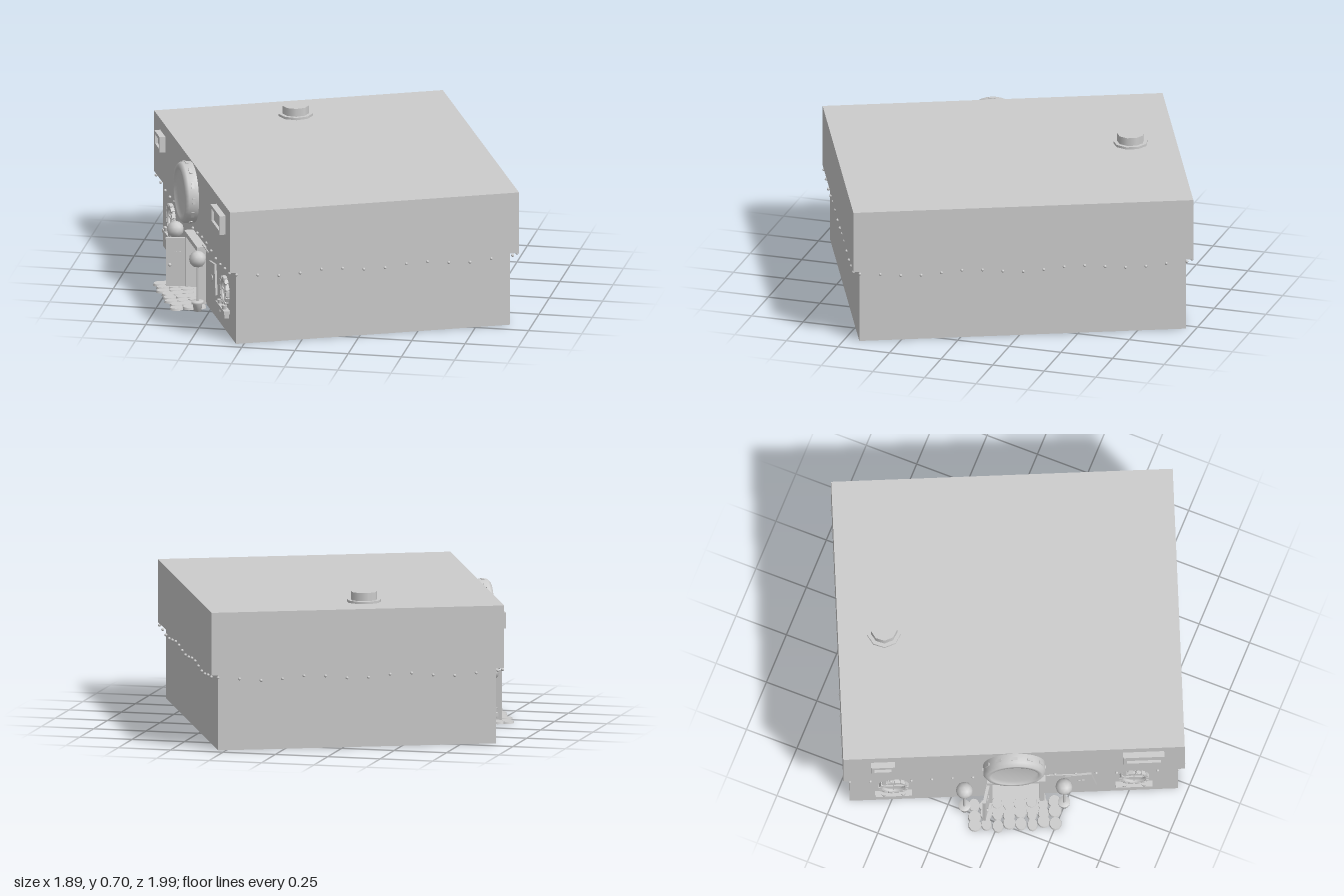
import * as THREE from 'three';

export function createModel() {
  const plaster = new THREE.MeshStandardMaterial({ color: 0xcccccc, side: THREE.DoubleSide });
  plaster.name = 'paleGrey';
  const model = new THREE.Group();
  model.name = 'cottage';

  // The whole house is turned so its door side faces the front right corner.
  const house = new THREE.Group();
  house.name = 'house';
  house.rotation.y = -1.153;
  model.add(house);

  const add = (name, geo, x = 0, y = 0, z = 0, parent = house) => {
    const m = new THREE.Mesh(geo, plaster);
    m.name = name;
    m.position.set(x, y, z);
    parent.add(m);
    return m;
  };
  const box = (name, w, h, d, x, y, z, parent) => add(name, new THREE.BoxGeometry(w, h, d), x, y, z, parent);
  const group = (name, x, y, z) => {
    const g = new THREE.Group();
    g.name = name;
    g.position.set(x, y, z);
    house.add(g);
    return g;
  };
  const rect = (T, x0, y0, x1, y1) => {
    const s = new T();
    s.moveTo(x0, y0);
    s.lineTo(x1, y0);
    s.lineTo(x1, y1);
    s.lineTo(x0, y1);
    s.closePath();
    return s;
  };

  const A = 0.757, B = 0.6485, H = 0.355;      // lower walls
  const RA = 0.788, RB = 0.683, TOP = 0.648;   // overhanging upper block

  // Open-bottomed lower walls, with a doorway in the front one
  const frontShape = rect(THREE.Shape, -A, 0, A, H);
  frontShape.holes.push(rect(THREE.Path, -0.1, 0.004, 0.12, 0.25));
  add('frontWall', new THREE.ShapeGeometry(frontShape), 0, 0, B);
  add('backWall', new THREE.PlaneGeometry(2 * A, H), 0, H / 2, -B).rotation.y = Math.PI;
  for (const s of [-1, 1]) {
    add('sideWall', new THREE.PlaneGeometry(2 * B, H), s * A, H / 2, 0).rotation.y = s * Math.PI / 2;
  }

  // Upper block: four sides, flat top and the eave ring beneath
  const rh = TOP - H, ry = (TOP + H) / 2;
  for (const s of [-1, 1]) {
    add('upperWall', new THREE.PlaneGeometry(2 * RA, rh), 0, ry, s * RB).rotation.y = s > 0 ? 0 : Math.PI;
    add('upperSide', new THREE.PlaneGeometry(2 * RB, rh), s * RA, ry, 0).rotation.y = s * Math.PI / 2;
  }
  add('roofTop', new THREE.PlaneGeometry(2 * RA, 2 * RB), 0, TOP, 0).rotation.x = -Math.PI / 2;
  const ring = rect(THREE.Shape, -RA, -RB, RA, RB);
  ring.holes.push(rect(THREE.Path, -A, -B, A, B));
  add('eave', new THREE.ShapeGeometry(ring), 0, H, 0).rotation.x = Math.PI / 2;

  // String of small bulbs hanging under the eave
  const bulb = new THREE.SphereGeometry(0.007, 8, 6);
  const bulbs = (n, half, place) => {
    for (let i = 0; i < n; i++) {
      const t = i / (n - 1);
      const y = 0.335 + 0.009 * Math.cos(t * Math.PI * 6);
      const [x, z] = place((2 * t - 1) * (half - 0.03));
      add('bulb', bulb, x, y, z);
    }
  };
  for (const s of [-1, 1]) {
    bulbs(17, RA, (u) => [u, s * (RB - 0.003)]);
    bulbs(14, RB, (u) => [s * (RA - 0.003), u]);
  }

  // Chimney
  add('chimneyBase', new THREE.CylinderGeometry(0.08, 0.08, 0.012, 9).toNonIndexed(), -0.575, TOP + 0.005, 0.062);
  add('chimneyPot', new THREE.CylinderGeometry(0.062, 0.062, 0.04, 9).toNonIndexed(), -0.575, TOP + 0.029, 0.062);

  // Big round upper window with studs around its rim
  const round = group('roundWindow', 0, 0.502, RB);
  const rim = [[0.143, 0], [0.143, 0.045], [0.13, 0.06], [0.112, 0.06], [0.105, 0.045], [0, 0.045]];
  add('rim', new THREE.LatheGeometry(rim.map((p) => new THREE.Vector2(...p)), 36), 0, 0, 0, round).rotation.x = Math.PI / 2;
  for (let i = 0; i < 12; i++) {
    const a = (i / 12) * Math.PI * 2;
    const stud = box('rimStud', 0.006, 0.03, 0.014, Math.cos(a) * 0.143, Math.sin(a) * 0.143, 0.025, round);
    stud.rotation.z = a;
  }

  // Square upper windows: four frame bars and a recessed pane
  const squareWindow = (x, w, h) => {
    const g = group('squareWindow', x, 0.557, RB + 0.014);
    const b = 0.016;
    for (const s of [-1, 1]) {
      box('frameBar', w, b, 0.028, 0, s * (h - b) / 2, 0, g);
      box('framePost', b, h - 2 * b, 0.028, s * (w - b) / 2, 0, 0, g);
    }
    box('pane', w - 2 * b, h - 2 * b, 0.014, 0, 0, -0.006, g);
  };
  squareWindow(-0.605, 0.11, 0.075);
  squareWindow(0.598, 0.19, 0.09);

  // Lower round windows with crossbars, brick ring and a sill
  for (const s of [-1, 1]) {
    const g = group('lowerWindow', s * 0.555, 0.197, B + 0.006);
    add('ring', new THREE.TorusGeometry(0.057, 0.01, 8, 28), 0, 0, 0, g);
    add('pane', new THREE.CircleGeometry(0.055, 28), 0, 0, -0.003, g);
    box('crossbar', 0.11, 0.006, 0.008, 0, 0, 0, g);
    box('crossbar', 0.006, 0.11, 0.008, 0, 0, 0, g);
    for (let i = 0; i < 14; i++) {
      const a = (i / 14) * Math.PI * 2;
      box('brick', 0.014, 0.02, 0.024, Math.cos(a) * 0.062, Math.sin(a) * 0.062, 0, g).rotation.z = a;
    }
    box('sill', 0.17, 0.016, 0.03, 0, -0.083, 0.01, g);
    for (const k of [-1, 1]) {
      box('bracket', 0.014, 0.03, 0.02, k * 0.055, -0.102, 0.006, g);
      add('sillPot', new THREE.CylinderGeometry(0.013, 0.01, 0.02, 10), k * 0.045, -0.066, 0.014, g);
    }
  }

  // Door frame, with the door standing open
  for (const x of [-0.11, 0.13]) box('doorPost', 0.022, 0.27, 0.05, x, 0.135, B + 0.015);
  box('lintel', 0.27, 0.022, 0.055, 0.01, 0.267, B + 0.016);
  const door = group('door', -0.115, 0.124, B + 0.02);
  door.rotation.y = -Math.PI / 2 - 0.25;
  box('doorPanel', 0.11, 0.236, 0.014, 0.055, 0, 0, door);
  add('doorKnob', new THREE.SphereGeometry(0.008, 10, 8), 0.092, -0.01, -0.012, door);

  // Small heart plate used on the door and the wall panel
  const heart = new THREE.Shape();
  heart.moveTo(0, -0.018);
  heart.bezierCurveTo(-0.03, 0.004, -0.016, 0.026, 0, 0.01);
  heart.bezierCurveTo(0.016, 0.026, 0.03, 0.004, 0, -0.018);
  const heartGeo = new THREE.ExtrudeGeometry(heart, { depth: 0.004, bevelEnabled: false, curveSegments: 6 });
  add('doorHeart', heartGeo, 0.055, 0.04, -0.01, door);
  const panel = group('wallPanel', 0.31, 0.18, B + 0.006);
  panel.rotation.z = 0.16;
  box('board', 0.12, 0.145, 0.01, 0, 0, 0, panel);
  add('boardHeart', heartGeo, 0, 0, 0.005, panel);
  box('hangingRod', 0.12, 0.005, 0.005, 0.21, 0.293, B + 0.02);

  // Potted ball trees on both sides of the door
  const pot = [[0, 0], [0.018, 0], [0.023, 0.036], [0.028, 0.036], [0.028, 0.048], [0, 0.048]];
  const potGeo = new THREE.LatheGeometry(pot.map((p) => new THREE.Vector2(...p)), 14);
  for (const s of [-1, 1]) {
    const g = group('pottedTree', s * 0.23, 0, 0.71);
    add('pot', potGeo, 0, 0, 0, g);
    add('stem', new THREE.CylinderGeometry(0.006, 0.006, 0.18, 8), 0, 0.13, 0, g);
    add('foliage', new THREE.IcosahedronGeometry(0.04, 1), 0, 0.25, 0, g);
  }

  // Doorstep slab and flat paving stones
  box('doorstep', 0.27, 0.006, 0.23, 0.01, 0.003, 0.635);
  const stone = new THREE.CylinderGeometry(0.03, 0.033, 0.01, 10);
  for (let r = 0; r < 3; r++) {
    for (let i = 0; i < 8; i++) {
      const wobble = 0.008 * Math.sin(i * 2.3 + r * 1.7);
      const m = add('pavingStone', stone, -0.185 + i * 0.053, 0.005, 0.695 + r * 0.05 + wobble);
      m.scale.x = 0.85 + 0.12 * Math.sin(i * 1.9 + r);
    }
  }

  return model;
}
